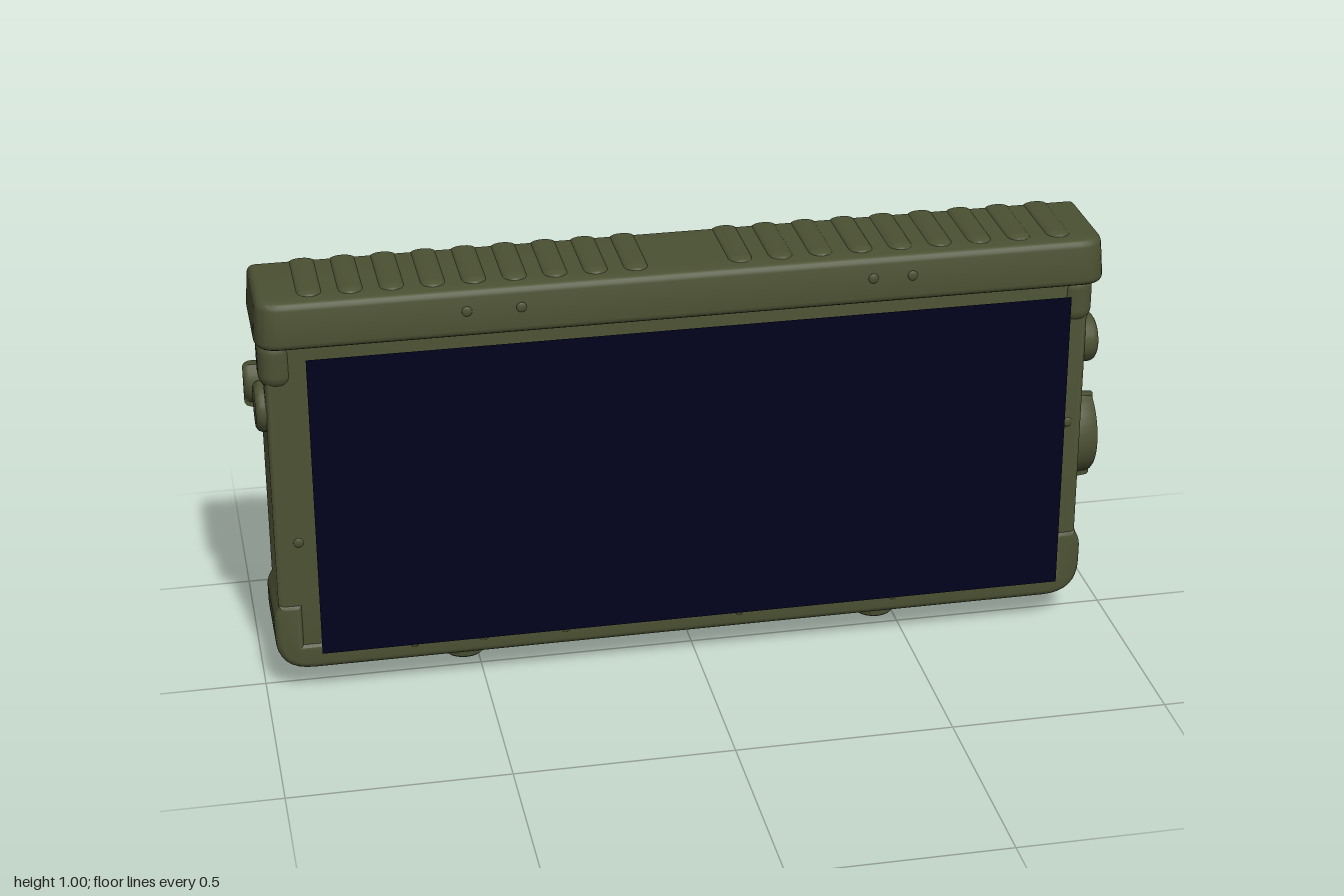
import * as THREE from 'three';
import { toCreasedNormals } from 'three/addons/utils/BufferGeometryUtils.js';
import { RoundedBoxGeometry } from 'three/addons/geometries/RoundedBoxGeometry.js';

const BACK = -0.125; // flat rear plane
const CX = -0.025; // middle of the case

const olive = new THREE.MeshStandardMaterial({ color: 0x4b5133 });
olive.name = 'olive';
const navy = new THREE.MeshStandardMaterial({ color: 0x00001c });
navy.name = 'screenNavy';

// Cut a geometry off flat at the rear plane
function flattenBack(geo) {
  const p = geo.attributes.position;
  for (let i = 0; i < p.count; i++) if (p.getZ(i) < BACK) p.setZ(i, BACK);
  return toCreasedNormals(geo, 0.7);
}

export function createModel() {
  const model = new THREE.Group();
  model.name = 'ruggedCase';

  const add = (name, geo, material = olive) => {
    const mesh = new THREE.Mesh(geo, material);
    mesh.name = name;
    model.add(mesh);
  };

  // Extrude an outline from zBack to zFront with a rounded front edge
  const slab = (shape, zBack, zFront, bevel) => {
    const geo = new THREE.ExtrudeGeometry(shape, {
      depth: zFront - zBack - bevel, bevelThickness: bevel, bevelSize: bevel,
      bevelOffset: -bevel, bevelSegments: 4, curveSegments: 8,
    });
    return flattenBack(geo.translate(0, 0, zBack));
  };

  // Turned part: pairs of [radius, height]
  const turned = (profile) =>
    new THREE.LatheGeometry(profile.map(([r, h]) => new THREE.Vector2(r, h)), 40);

  // Main body, flared at the bottom corners, with a shallow step under the middle
  const w = 0.938, f = 0.95, y0 = 0.066, c = 0.085;
  const flaredBase = (s, yTop) => {
    s.moveTo(CX - f, y0 + c);
    s.quadraticCurveTo(CX - f, y0, CX - f + c, y0);
    return (side) => {
      side();
      s.lineTo(CX + f - c, y0);
      s.quadraticCurveTo(CX + f, y0, CX + f, y0 + c);
      s.lineTo(CX + f, 0.19);
      s.quadraticCurveTo(CX + f, 0.21, CX + w, 0.228);
      s.lineTo(CX + w, yTop);
    };
  };
  const closeLeft = (s) => {
    s.lineTo(CX - w, 0.228);
    s.quadraticCurveTo(CX - f, 0.21, CX - f, 0.19);
    s.lineTo(CX - f, y0 + c);
  };
  const outline = new THREE.Shape();
  flaredBase(outline, 0.9)(() => {
    outline.lineTo(CX - 0.79, y0);
    outline.lineTo(CX - 0.76, 0.078);
    outline.lineTo(CX + 0.76, 0.078);
    outline.lineTo(CX + 0.79, y0);
  });
  outline.lineTo(CX - w, 0.9);
  closeLeft(outline);
  add('body', slab(outline, BACK, 0.063, 0.015));

  // Bumper running round the bottom of the frame
  const bumper = new THREE.Shape();
  flaredBase(bumper, 0.232)(() => {});
  bumper.lineTo(CX + 0.885, 0.232);
  bumper.lineTo(CX + 0.885, 0.13);
  bumper.lineTo(CX - 0.885, 0.13);
  bumper.lineTo(CX - 0.885, 0.232);
  bumper.lineTo(CX - w, 0.232);
  closeLeft(bumper);
  add('bottomBumper', slab(bumper, -0.03, 0.07, 0.014));

  // Screen, a thin sheet standing proud of the frame
  add('screen', new THREE.PlaneGeometry(1.725, 0.73).translate(-0.0125, 0.5, 0.125), navy);

  // Padded shoulders below the lid
  for (const s of [-1, 1]) {
    add('shoulder', new RoundedBoxGeometry(0.08, 0.125, 0.1, 5, 0.036)
      .translate(CX + s * 0.91, 0.828, 0.02));
  }

  // Neck under the lid
  add('neck', new RoundedBoxGeometry(1.84, 0.025, 0.19, 3, 0.008).translate(CX, 0.885, -0.027));

  // Lid: rounded in plan, narrowing slightly to the top
  const plan = new THREE.Shape();
  const lw = 0.96, front = 0.12, r = 0.06;
  plan.moveTo(-lw, 0.25);
  plan.lineTo(-lw, -front + r);
  plan.quadraticCurveTo(-lw, -front, -lw + r, -front);
  plan.lineTo(lw - r, -front);
  plan.quadraticCurveTo(lw, -front, lw, -front + r);
  plan.lineTo(lw, 0.25);
  const lid = new THREE.ExtrudeGeometry(plan, {
    depth: 0.076, bevelThickness: 0.016, bevelSize: 0.016, bevelOffset: -0.016,
    bevelSegments: 4, curveSegments: 8,
  });
  lid.rotateX(-Math.PI / 2);
  const lp = lid.attributes.position;
  for (let i = 0; i < lp.count; i++) {
    const rise = lp.getY(i) + 0.016;
    lp.setX(i, lp.getX(i) * (1 - 0.08 * rise));
    if (lp.getZ(i) > 0) lp.setZ(i, lp.getZ(i) * (1 - 0.6 * rise));
  }
  lid.translate(-0.023, 0.901, 0);
  add('lid', flattenBack(lid));

  // Two banks of low ridges across the lid
  for (let i = 0; i < 9; i++) {
    for (const x of [-0.855 + i * 0.09, 0.1 + i * 0.0915]) {
      const ridge = new THREE.CapsuleGeometry(0.028, 0.22, 4, 16)
        .rotateX(Math.PI / 2).scale(1, 0.32, 1).translate(x, 0.991, -0.06);
      add('lidRidge', flattenBack(ridge));
    }
  }

  // Round part standing out from one side (s = +1 or -1)
  const sideKnob = (name, s, y, z, radius, xEnd) => {
    const start = 0.88, h = xEnd - start;
    const geo = turned([[0, 0], [radius, 0], [radius, h - 0.014], [radius - 0.004, h - 0.005],
      [radius - 0.012, h], [0, h]]);
    geo.rotateZ(-s * Math.PI / 2).translate(s * start, y, z);
    add(name, flattenBack(geo));
  };
  sideKnob('frontKnob', 1, 0.705, -0.003, 0.058, 0.948);
  sideKnob('rearKnob', 1, 0.705, -0.152, 0.057, 0.948);
  sideKnob('frontKnob', -1, 0.705, -0.003, 0.058, 0.985);
  sideKnob('rearKnob', -1, 0.705, -0.16, 0.057, 1.0);
  sideKnob('sideBolt', 1, 0.81, -0.08, 0.014, 0.92);
  sideKnob('sideBolt', -1, 0.81, -0.08, 0.014, 0.968);

  // Large round port on the left side
  const port = turned([[0, 0], [0.1, 0], [0.102, 0.05], [0.116, 0.062], [0.116, 0.07],
    [0.111, 0.115], [0.106, 0.12], [0, 0.12]]);
  port.rotateZ(-Math.PI / 2).translate(0.88, 0.391, -0.175);
  add('port', flattenBack(port));

  // Stepped feet
  for (const x of [-0.53, 0.46]) {
    const foot = turned([[0, 0], [0.045, 0], [0.049, 0.004], [0.05, 0.024], [0.055, 0.034],
      [0.056, 0.046], [0.064, 0.056], [0.064, 0.09], [0, 0.09]]);
    add('foot', flattenBack(foot.translate(x, 0, -0.075)));
  }

  // Small rivets on the frame and lid
  const rivets = [[-0.91, 0.39, 0.062], [0.878, 0.52, 0.062], [-0.66, 0.11, 0.069],
    [-0.5, 0.11, 0.069], [-0.31, 0.11, 0.069], [0.1, 0.11, 0.069], [0.47, 0.11, 0.069],
    [-0.52, 0.945, 0.115], [-0.4, 0.945, 0.115], [0.39, 0.945, 0.115], [0.48, 0.945, 0.115]];
  for (const [x, y, z] of rivets) {
    add('rivet', new THREE.SphereGeometry(0.012, 12, 8).scale(1, 1, 0.35).translate(x, y, z));
  }

  return model;
}
